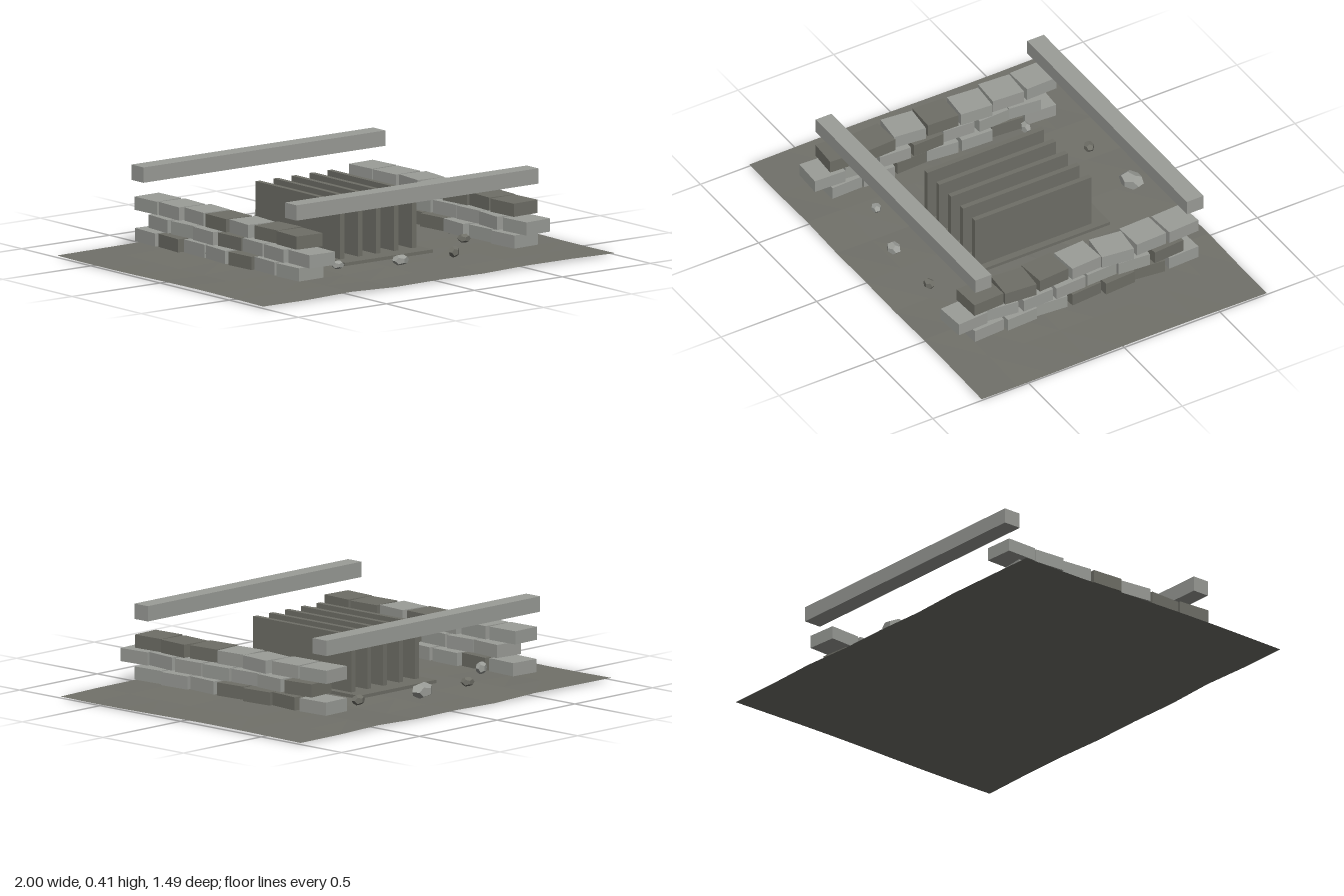
import * as THREE from 'three';

const mat = (name, color, extra = {}) => {
  const m = new THREE.MeshStandardMaterial({ color, flatShading: true, ...extra });
  m.name = name;
  return m;
};

export function createModel() {
  const light = mat('light stone', 0x9b9d98);
  const dark = mat('dark stone', 0x6f6f67);
  const soil = mat('soil', 0x71716a, { side: THREE.DoubleSide });

  const model = new THREE.Group();
  model.name = 'firePit';
  const add = (name, geometry, material, x, y, z, parent = model) => {
    const mesh = new THREE.Mesh(geometry, material);
    mesh.name = name;
    mesh.position.set(x, y, z);
    parent.add(mesh);
    return mesh;
  };
  const box = (w, h, d) => new THREE.BoxGeometry(w, h, d);

  // Ground sheet with faint bumps
  const ground = new THREE.PlaneGeometry(2, 1.49, 8, 8).rotateX(-Math.PI / 2);
  const p = ground.attributes.position;
  for (let i = 0; i < p.count; i++) {
    p.setY(i, 0.009 + 0.006 * Math.sin(i * 2.4) * Math.cos(i * 1.1));
  }
  p.setY(40, 0);
  ground.computeVertexNormals();
  add('ground', ground, soil, 0, 0, 0);

  // Grate: base plate and five upright fins
  const grate = new THREE.Group();
  grate.name = 'grate';
  model.add(grate);
  add('basePlate', box(0.5, 0.015, 0.765), dark, 0, 0.052, 0, grate);
  for (let i = -2; i <= 2; i++) {
    add('fin', box(0.025, 0.262, 0.61), dark, i * 0.102, 0.189, 0, grate);
  }

  // Cross beams over front and back
  add('frontBeam', box(1.375, 0.07, 0.083), light, 0, 0.372, 0.546);
  add('backBeam', box(1.375, 0.07, 0.087), light, 0, 0.372, -0.561);

  // Side walls: courses run front to back, 1 marks a dark brick
  const walls = [
    { name: 'leftWall', x: 0.61, courses: ['0001110', '0000001', '1110000'],
      turns: [0.05, -0.08, 0.08, 0.07, -0.12, 0.04, 0.06] },
    { name: 'rightWall', x: -0.61, courses: ['0010010', '0001000', '1101000'],
      turns: [-0.06, 0.05, -0.1, -0.04, -0.08, -0.06, 0.03] },
  ];
  const brick = box(0.142, 0.06, 0.157);
  for (const { name, x, courses, turns } of walls) {
    const wall = new THREE.Group();
    wall.name = name;
    model.add(wall);
    courses.forEach((course, row) => {
      [...course].forEach((tone, i) => {
        const z = (row === 1 ? 0.6 : 0.515) - i * 0.17;
        const b = add('brick', brick, tone === '1' ? dark : light,
          x + 0.008 * Math.sin(i * 2 + row * 3), 0.09 + row * 0.0725, z, wall);
        b.rotation.y = turns[(i + (2 - row) * 3) % 7];
      });
    });
  }

  // Loose pebbles: x, z, half width, half height, material
  const pebble = new THREE.DodecahedronGeometry(1);
  [
    [-0.36, 0.47, 0.031, 0.02, light], [-0.07, 0.555, 0.042, 0.025, light],
    [0.235, 0.555, 0.03, 0.027, dark], [0.46, 0.34, 0.032, 0.021, dark],
    [0.38, -0.505, 0.035, 0.025, dark], [0.07, -0.602, 0.064, 0.037, light],
    [-0.25, -0.575, 0.033, 0.022, dark], [-0.515, -0.405, 0.03, 0.03, light],
    [0.59, 0.08, 0.045, 0.04, light], [-0.64, -0.08, 0.035, 0.035, dark],
  ].forEach(([x, z, r, h, m], i) => {
    const stone = add('pebble', pebble, m, x, i > 7 ? 0.083 : i === 5 ? 0.09 : 0.078, z);
    stone.scale.set(r, h, r * 0.75);
    stone.rotation.y = (i % 3 - 1) * 0.3;
  });

  return model;
}
